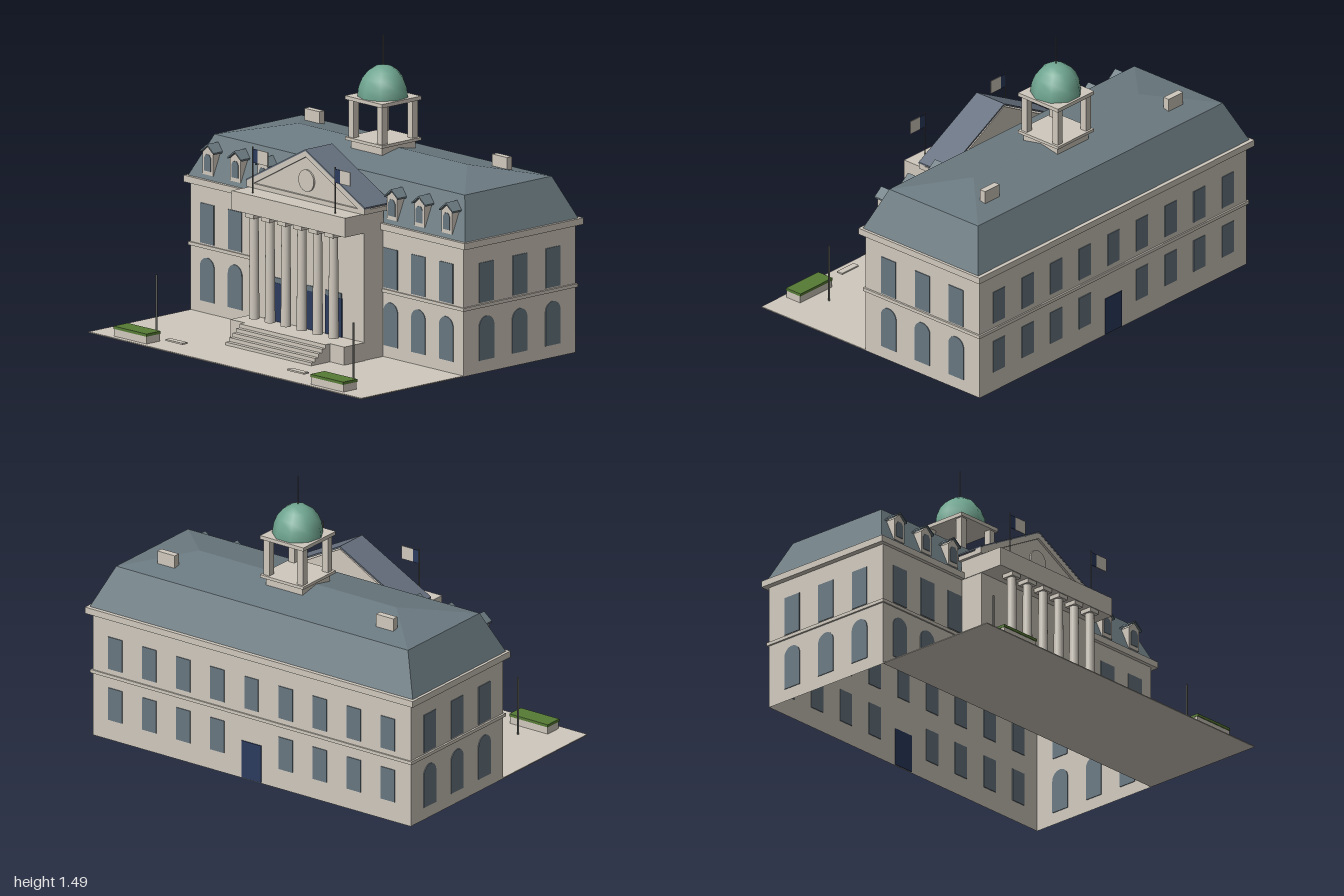
import * as THREE from 'three';

const mat = (name, color, side = THREE.FrontSide) => {
  const m = new THREE.MeshStandardMaterial({ color, side });
  m.name = name;
  return m;
};

export function createModel() {
  const root = new THREE.Group();
  root.name = 'townHall';
  const stone = mat('stone', 0xcfc8bd, THREE.DoubleSide);
  const slate = mat('slate', 0x6b7a81);
  const gableSlate = mat('gableSlate', 0x66707e);
  const glass = mat('glass', 0x677680);
  const navy = mat('navy', 0x2b3a5e);
  const copper = mat('copper', 0x6fa590);
  const hedge = mat('hedge', 0x567b35);
  const metal = mat('metal', 0x63635f);

  const add = (name, geo, material, x = 0, y = 0, z = 0, parent = root) => {
    const m = new THREE.Mesh(geo, material);
    m.name = name;
    m.position.set(x, y, z);
    parent.add(m);
    return m;
  };
  // Box given by its min and max on each axis
  const box = (name, material, x0, x1, y0, y1, z0, z1, parent = root) =>
    add(name, new THREE.BoxGeometry(x1 - x0, y1 - y0, z1 - z0), material,
      (x0 + x1) / 2, (y0 + y1) / 2, (z0 + z1) / 2, parent);
  const extrude = (name, material, pts, z0, z1, parent = root) =>
    add(name, new THREE.ExtrudeGeometry(new THREE.Shape(pts.map(p => new THREE.Vector2(...p))),
      { depth: z1 - z0, bevelEnabled: false }), material, 0, 0, z0, parent);
  const rod = (name, r, y0, y1, x, z) =>
    add(name, new THREE.CylinderGeometry(r, r, y1 - y0, 8), metal, x, (y0 + y1) / 2, z);
  // Roof tier: a box whose top is drawn in
  const tier = (name, y0, y1, bx, bz, tx, tz) => {
    const g = new THREE.BoxGeometry(2, 1, 2), p = g.attributes.position;
    for (let i = 0; i < p.count; i++) {
      const top = p.getY(i) > 0;
      p.setXYZ(i, p.getX(i) * (top ? tx : bx), top ? y1 : y0, p.getZ(i) * (top ? tz : bz));
    }
    g.computeVertexNormals();
    return add(name, g, slate, 0, 0, ZC);
  };

  const ZC = -0.333, FRONT = 0.045, BACK = -0.71, SIDE = 0.97;

  // Main walls, open underneath
  const walls = box('walls', stone, -SIDE, SIDE, 0, 0.65, BACK, FRONT);
  const idx = Array.from(walls.geometry.index.array);
  idx.splice(18, 6);
  walls.geometry.setIndex(idx);
  walls.geometry.clearGroups();

  // Belt course as four strips, so the inside stays hollow
  for (const s of [-1, 1]) box('sideBelt', stone, s * 0.975 - 0.005, s * 0.975 + 0.005, 0.33, 0.347, BACK - 0.008, FRONT + 0.008);
  for (const z of [BACK - 0.004, FRONT + 0.004]) box('belt', stone, -0.975, 0.975, 0.33, 0.347, z - 0.004, z + 0.004);
  box('cornice', stone, -1, 1, 0.645, 0.678, -0.735, 0.065);

  // Mansard and hipped roof
  tier('mansard', 0.678, 0.886, 0.985, 0.381, 0.89, 0.293);
  tier('hipRoof', 0.886, 0.943, 0.89, 0.293, 0.6, 0.0005);

  // Windows are thin plates set through the walls
  const rectWin = new THREE.BoxGeometry(0.097, 0.2, 0.008);
  const backWin = new THREE.BoxGeometry(0.085, 0.17, 0.008);
  const arch = new THREE.Shape();
  arch.moveTo(-0.05, 0.064);
  arch.lineTo(0.05, 0.064);
  arch.lineTo(0.05, 0.234);
  arch.absarc(0, 0.234, 0.05, 0, Math.PI, false);
  arch.closePath();
  const archWin = new THREE.ExtrudeGeometry(arch, { depth: 0.008, bevelEnabled: false, curveSegments: 10 });
  archWin.translate(0, 0, -0.004);

  for (const s of [-1, 1]) {
    for (const x of [0.455, 0.652, 0.85]) {
      add('upperWindow', rectWin, glass, s * x, 0.455, FRONT);
      add('archedWindow', archWin, glass, s * x, 0, FRONT);
    }
    for (const z of [-0.11, -0.333, -0.556]) {
      add('sideWindow', rectWin, glass, s * SIDE, 0.455, z).rotation.y = Math.PI / 2;
      add('sideArchedWindow', archWin, glass, s * SIDE, 0, z).rotation.y = Math.PI / 2;
    }
  }
  for (let i = -4; i <= 4; i++) {
    add('backUpperWindow', backWin, glass, i * 0.208, 0.46, BACK);
    if (i) add('backLowerWindow', backWin, glass, i * 0.208, 0.19, BACK);
  }
  box('backDoor', navy, -0.06, 0.06, 0.005, 0.2, BACK - 0.005, BACK + 0.004);

  // Dormers
  for (const s of [-1, 1]) for (const x of [0.46, 0.655, 0.85]) {
    const d = new THREE.Group();
    d.name = 'dormer';
    d.position.x = s * x;
    root.add(d);
    extrude('dormerBody', stone, [[-0.036, 0.7], [0.036, 0.7], [0.036, 0.812], [0, 0.843], [-0.036, 0.812]], -0.03, 0.043, d);
    extrude('dormerRoof', slate, [[-0.048, 0.81], [0, 0.847], [0.048, 0.81], [0.048, 0.818], [0, 0.856], [-0.048, 0.818]], -0.03, 0.05, d);
    extrude('dormerWindow', glass, [[-0.024, 0.72], [0.024, 0.72], [0.024, 0.785], [0.012, 0.803], [-0.012, 0.803], [-0.024, 0.785]], 0.04, 0.046, d);
  }

  // Chimneys
  for (const s of [-1, 1]) box('chimney', stone, s * 0.667 - 0.053, s * 0.667 + 0.053, 0.88, 0.973, -0.518, -0.484);

  // Cupola
  const slab = (name, h, y0, y1) => box(name, stone, -h, h, y0, y1, ZC - h, ZC + h);
  slab('cupolaBase', 0.112, 0.9, 0.963);
  slab('cupolaFloor', 0.132, 0.962, 0.977);
  for (const sx of [-1, 1]) for (const sz of [-1, 1])
    add('cupolaPost', new THREE.BoxGeometry(0.036, 0.19, 0.036), stone, sx * 0.102, 1.071, ZC + sz * 0.102);
  slab('cupolaTop', 0.132, 1.165, 1.184);
  add('dome', new THREE.SphereGeometry(0.127, 9, 5, Math.PI / 2, Math.PI * 2, 0, Math.PI / 2), copper, 0, 1.184, ZC).scale.y = 1.24;
  rod('spire', 0.003, 1.335, 1.49, 0, ZC);

  // Portico: back wall, entablature, pediment
  box('porticoWall', stone, -0.4, 0.4, 0.004, 0.65, FRONT, 0.175);
  box('entablature', stone, -0.403, 0.403, 0.645, 0.742, FRONT, 0.305);
  box('pedimentBase', stone, -0.42, 0.42, 0.742, 0.765, 0.04, 0.19);
  extrude('pediment', stone, [[-0.41, 0.765], [0.41, 0.765], [0, 0.985]], 0.01, 0.178);
  extrude('rakingCornice', stone, [[-0.42, 0.765], [-0.37, 0.765], [0, 0.962], [0.37, 0.765], [0.42, 0.765], [0.42, 0.771], [0, 0.992], [-0.42, 0.771]], 0.15, 0.19);
  extrude('pedimentRoof', gableSlate, [[-0.422, 0.77], [0, 0.991], [0.422, 0.77], [0.422, 0.778], [0, 1], [-0.422, 0.778]], 0.01, 0.191);
  add('medallion', new THREE.CylinderGeometry(0.055, 0.055, 0.012, 24), stone, 0, 0.842, 0.18).rotation.x = Math.PI / 2;

  // Columns with square capitals
  for (let i = 0; i < 6; i++) {
    const x = (i - 2.5) * 0.113;
    add('column', new THREE.CylinderGeometry(0.022, 0.026, 0.51, 16), stone, x, 0.37, 0.268);
    box('capital', stone, x - 0.03, x + 0.03, 0.624, 0.646, 0.235, 0.3);
  }

  // Doors with transoms
  for (const x of [-0.188, 0, 0.188]) {
    box('door', navy, x - 0.06, x + 0.06, 0.095, 0.29, 0.172, 0.181);
    box('transom', glass, x - 0.055, x + 0.055, 0.29, 0.316, 0.172, 0.18);
  }

  // Platform and steps
  box('platform', stone, -0.405, 0.405, 0.001, 0.096, 0.17, 0.312);
  for (let i = 0; i < 5; i++)
    box('step', stone, -0.305, 0.305, 0.001, 0.096 - i * 0.019, 0.3, 0.345 + i * 0.0235);

  // Forecourt
  box('forecourt', stone, -SIDE, SIDE, 0, 0.005, FRONT, 0.732);
  for (const s of [-1, 1]) {
    const px = s * 0.7, bx = s * 0.432, fx = s * 0.293;
    box('planter', stone, px - 0.115, px + 0.115, 0.004, 0.043, 0.617, 0.706);
    box('planterHedge', hedge, px - 0.117, px + 0.117, 0.042, 0.056, 0.614, 0.709);
    box('bench', stone, bx - 0.06, bx + 0.06, 0.031, 0.039, 0.633, 0.667);
    rod('lampPost', 0.005, 0.004, 0.306, px, 0.53);
    // Flags both fly toward +x
    rod('flagPole', 0.003, 0.74, 0.975, fx, 0.267);
    box('flagHoist', navy, fx, fx + 0.037, 0.896, 0.965, 0.265, 0.269);
    box('flagFly', stone, fx + 0.037, fx + 0.108, 0.896, 0.965, 0.265, 0.269);
  }
  return root;
}
